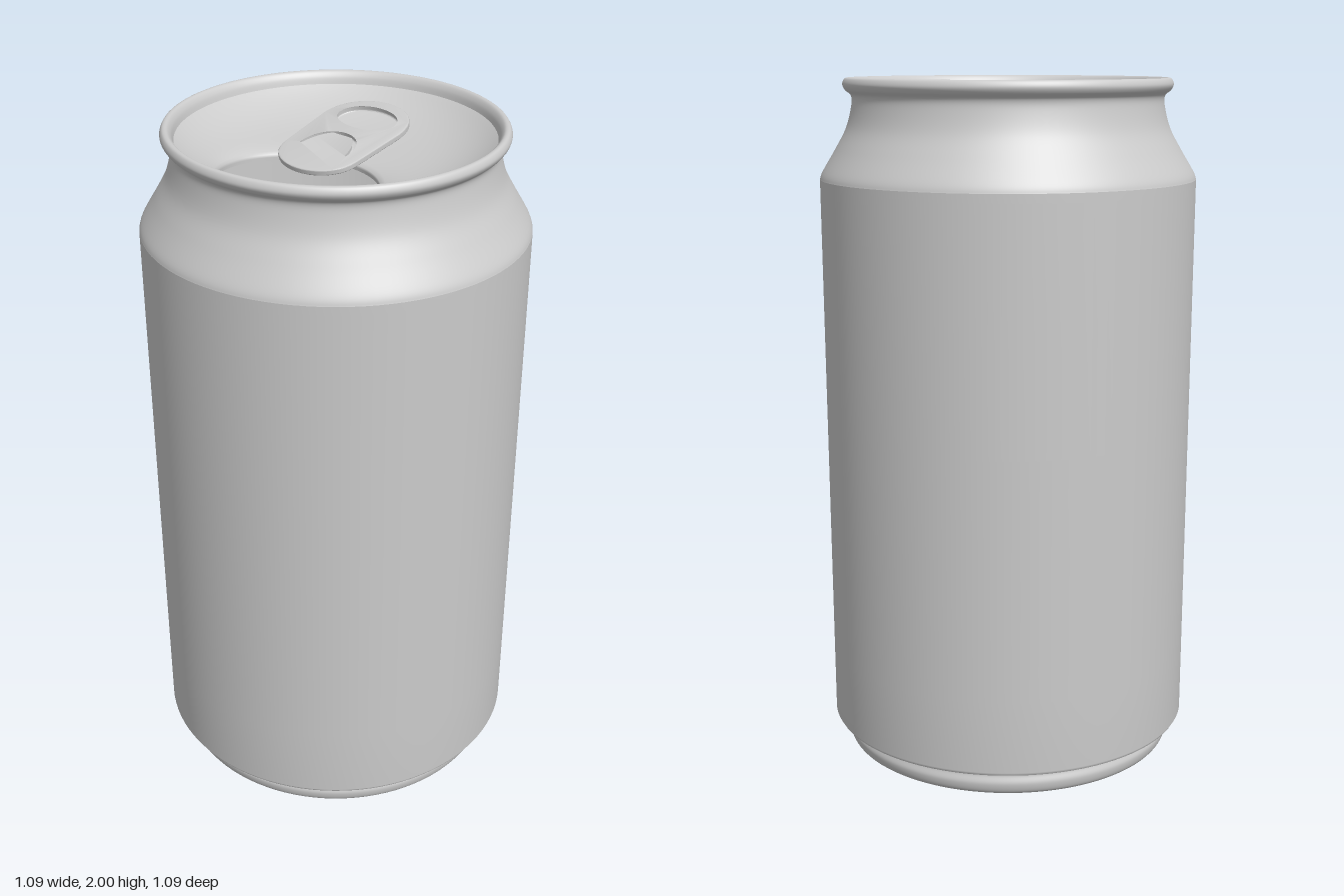
import * as THREE from 'three';
import { toCreasedNormals } from 'three/addons/utils/BufferGeometryUtils.js';

const SEG = 96;
const material = new THREE.MeshStandardMaterial({ color: 0xcccccc, side: THREE.DoubleSide });

function part(name, geometry) {
  const mesh = new THREE.Mesh(geometry, material);
  mesh.name = name;
  return mesh;
}

// Smooth surface of revolution through a few [radius, height] points
function turned(name, points, samples) {
  const curve = new THREE.SplineCurve(points.map(([r, y]) => new THREE.Vector2(r, y)));
  const profile = curve.getPoints(samples);
  profile.forEach((p) => { p.x = Math.max(p.x, 0); });
  return part(name, new THREE.LatheGeometry(profile, SEG));
}

// Bowl-shaped lid, spanned between the round mouth and the inside of the rim
function lidGeometry() {
  const rimR = 0.438, rows = 24, lip = 2, positions = [], index = [];
  const height = (r) => 1.885 + 0.08 * (r / rimR) ** 4;
  for (let j = -lip; j <= rows; j++) {
    const t = Math.max(j, 0) / rows;
    for (let i = 0; i < SEG; i++) {
      const a = (i / SEG) * Math.PI * 2, s = Math.sin(a), c = Math.cos(a);
      const x = THREE.MathUtils.lerp(0.223 * s, rimR * s, t);
      const z = THREE.MathUtils.lerp(0.148 + (c > 0 ? 0.222 : 0.205) * c, rimR * c, t);
      // the metal turns down softly towards the mouth and ends in a short lip
      const dip = 0.014 * Math.exp(-t * 9) + Math.max(-j, 0) * 0.008;
      positions.push(x, height(Math.hypot(x, z)) - dip, z);
    }
  }
  for (let j = 0; j < rows + lip; j++) {
    for (let i = 0; i < SEG; i++) {
      const k = (i + 1) % SEG;
      const a = j * SEG + i, b = a + SEG, c = j * SEG + k, d = c + SEG;
      index.push(a, b, c, c, b, d);
    }
  }
  const g = new THREE.BufferGeometry();
  g.setAttribute('position', new THREE.Float32BufferAttribute(positions, 3));
  g.setIndex(index);
  g.computeVertexNormals();
  return g;
}

// Pull tab: rounded plate with a finger hole and an arched slot around a tongue
function tabGeometry() {
  const plate = new THREE.Shape();
  plate.moveTo(-0.137, 0.11);
  plate.bezierCurveTo(-0.13, 0.272, 0.13, 0.272, 0.137, 0.11);
  plate.lineTo(0.127, -0.06);
  plate.bezierCurveTo(0.122, -0.195, -0.122, -0.195, -0.127, -0.06);
  plate.closePath();

  const finger = new THREE.Path();
  finger.moveTo(-0.1, 0.13);
  finger.bezierCurveTo(-0.1, 0.223, 0.1, 0.223, 0.1, 0.13);
  finger.bezierCurveTo(0.1, 0.057, -0.1, 0.057, -0.1, 0.13);

  const slot = new THREE.Path();
  slot.moveTo(-0.088, -0.05);
  slot.bezierCurveTo(-0.09, 0.08, 0.09, 0.08, 0.088, -0.05);
  slot.quadraticCurveTo(0.083, -0.066, 0.074, -0.052);
  slot.quadraticCurveTo(0.062, 0.005, 0.032, 0.026);
  slot.lineTo(-0.032, 0.026);
  slot.quadraticCurveTo(-0.062, 0.005, -0.074, -0.052);
  slot.quadraticCurveTo(-0.083, -0.066, -0.088, -0.05);

  plate.holes.push(finger, slot);
  const g = new THREE.ExtrudeGeometry(plate, {
    depth: 0.008, curveSegments: 20,
    bevelThickness: 0.004, bevelSize: 0.004, bevelOffset: -0.004, bevelSegments: 3,
  });
  g.rotateX(-Math.PI / 2);
  return toCreasedNormals(g, 0.7);
}

export function createModel() {
  const can = new THREE.Group();
  can.name = 'drinkCan';

  // Domed underside, standing ring and groove
  can.add(turned('base', [
    [0, 0.12], [0.2, 0.102], [0.36, 0.062], [0.445, 0.018], [0.472, 0],
    [0.49, 0.008], [0.497, 0.035], [0.49, 0.06], [0.498, 0.074], [0.532, 0.08],
  ], 60));

  // Straight wall
  can.add(part('body', new THREE.LatheGeometry(
    [[0.532, 0.08], [0.538, 0.09], [0.539, 0.3], [0.542, 1], [0.545, 1.69], [0.545, 1.715]]
      .map(([r, y]) => new THREE.Vector2(r, y)), SEG)));

  // Shoulder, neck and rolled rim
  can.add(turned('neckAndRim', [
    [0.545, 1.715], [0.536, 1.738], [0.499, 1.8], [0.467, 1.86], [0.451, 1.92], [0.451, 1.95],
    [0.468, 1.966], [0.475, 1.982], [0.468, 1.998], [0.455, 1.999], [0.444, 1.985], [0.438, 1.964],
  ], 72));

  can.add(part('lid', lidGeometry()));

  // Tab is raised at the finger end
  const tab = part('pullTab', tabGeometry());
  tab.position.y = 1.939;
  tab.rotation.x = 0.2;
  can.add(tab);

  return can;
}
